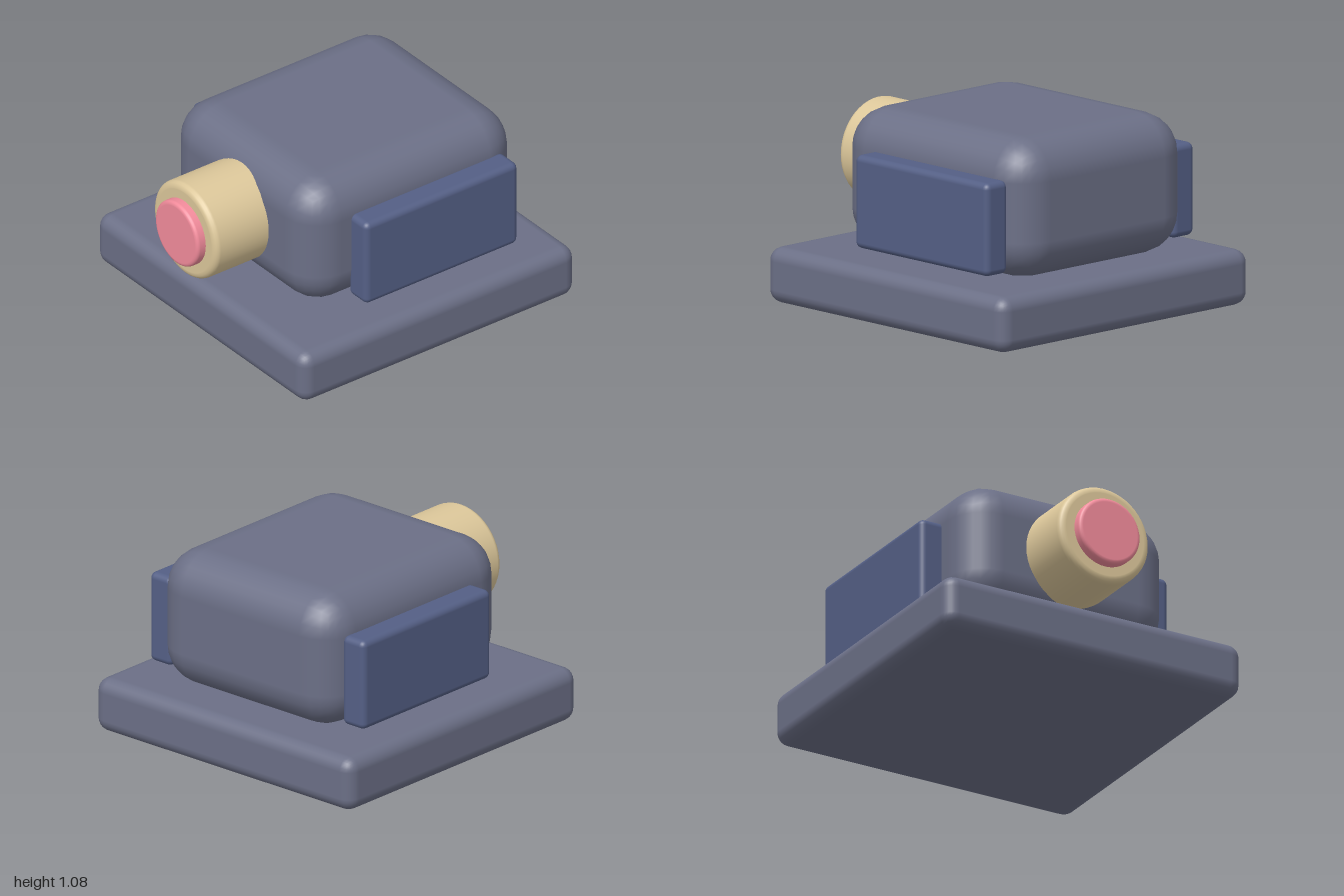
import * as THREE from 'three';
import { RoundedBoxGeometry } from 'three/addons/geometries/RoundedBoxGeometry.js';

const slate = new THREE.MeshStandardMaterial({ color: 0x6b6f86 });
const navy = new THREE.MeshStandardMaterial({ color: 0x545f85 });
const tan = new THREE.MeshStandardMaterial({ color: 0xdcc79a });
const pink = new THREE.MeshStandardMaterial({ color: 0xf28b9b });

// Rounded box given by its [min, max] extent on each axis
function roundedBox(name, [x0, x1], [y0, y1], [z0, z1], radius, segments, material) {
  const geometry = new RoundedBoxGeometry(x1 - x0, y1 - y0, z1 - z0, segments, radius);
  const mesh = new THREE.Mesh(geometry, material);
  mesh.name = name;
  mesh.position.set((x0 + x1) / 2, (y0 + y1) / 2, (z0 + z1) / 2);
  return mesh;
}

// Solid disc-ended barrel along z with rounded rims
function barrel(name, radius, z0, z1, bevel, material) {
  const points = [new THREE.Vector2(0, z0), new THREE.Vector2((radius - bevel) * 0.98, z0)];
  const arc = (z, from) => {
    for (let i = 0; i <= 4; i++) {
      const a = from + (i / 4) * Math.PI / 2;
      points.push(new THREE.Vector2(radius - bevel + bevel * Math.cos(a), z + bevel * Math.sin(a)));
    }
  };
  arc(z0 + bevel, -Math.PI / 2);
  arc(z1 - bevel, 0);
  points.push(new THREE.Vector2((radius - bevel) * 0.98, z1), new THREE.Vector2(0, z1));
  const geometry = new THREE.LatheGeometry(points, 48).rotateX(Math.PI / 2);
  const mesh = new THREE.Mesh(geometry, material);
  mesh.name = name;
  mesh.position.y = 0.695;
  return mesh;
}

export function createModel() {
  const model = new THREE.Group();
  model.name = 'model';

  // Base slab and main housing
  model.add(roundedBox('base', [-0.92, 0.92], [0, 0.305], [-1, 0.845], 0.075, 3, slate));
  model.add(roundedBox('body', [-0.64, 0.64], [0.305, 1.075], [-0.85, 0.59], 0.22, 3, slate));

  // Side panels
  for (const [name, x] of [['leftPanel', [0.61, 0.77]], ['rightPanel', [-0.77, -0.61]]]) {
    model.add(roundedBox(name, x, [0.36, 0.87], [-0.72, 0.31], 0.035, 3, navy));
  }

  // Front barrel and its coloured face
  model.add(barrel('lensBarrel', 0.28, 0.4, 0.945, 0.035, tan));
  model.add(barrel('lensFace', 0.19, 0.85, 1, 0.02, pink));

  return model;
}
